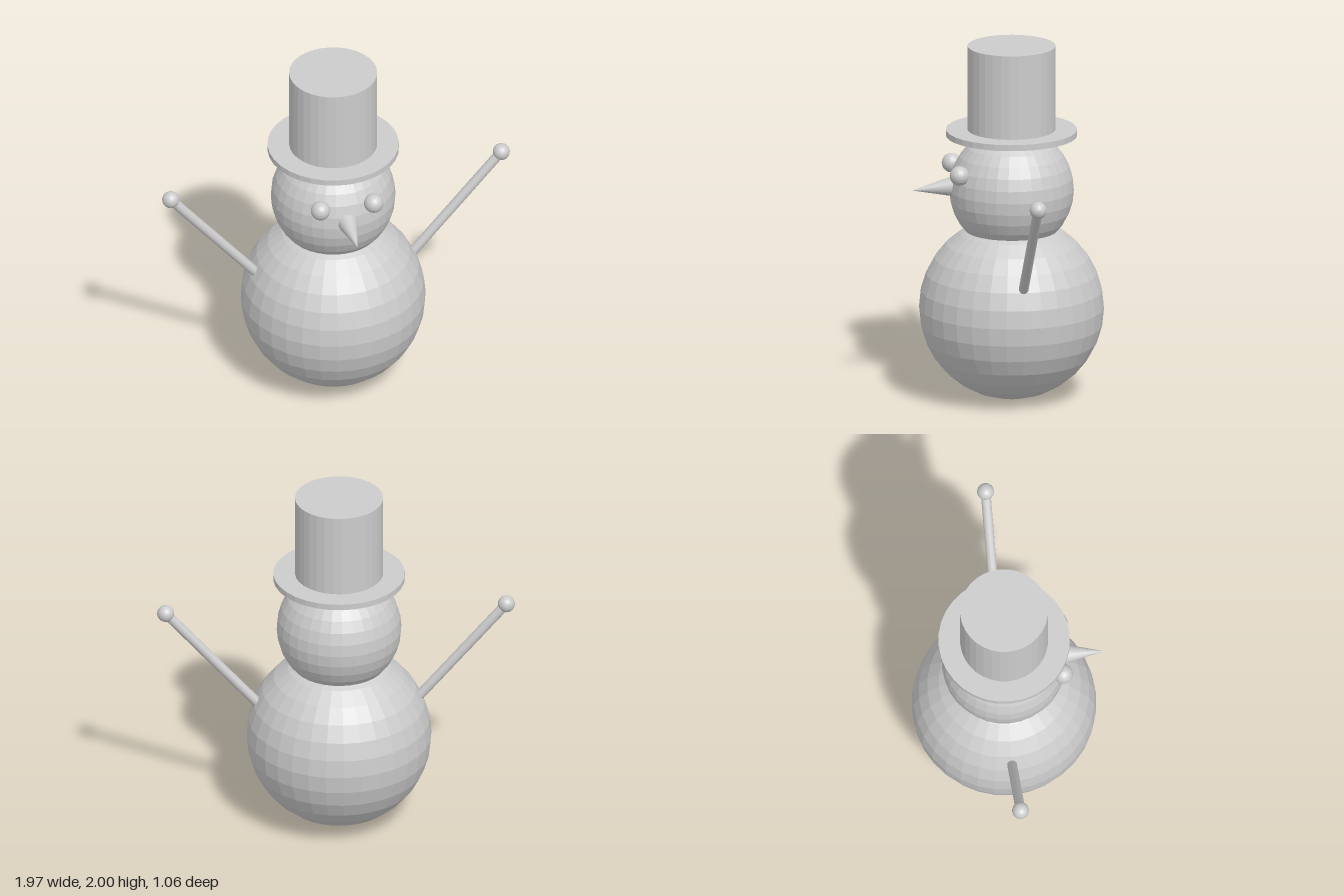
import * as THREE from 'three';

const C = -0.02; // shared body axis in x and z

export function createModel() {
  const model = new THREE.Group();
  const material = new THREE.MeshStandardMaterial({ color: 0xcccccc, flatShading: true });

  const add = (name, geometry, x, y, z) => {
    const mesh = new THREE.Mesh(geometry, material);
    mesh.name = name;
    mesh.position.set(x, y, z);
    model.add(mesh);
    return mesh;
  };
  const ball = (name, r, x, y, z) => add(name, new THREE.SphereGeometry(r, 32, 16), x, y, z);

  // Cylinder or cone running from one point to another
  const rod = (name, from, to, rFrom, rTo) => {
    const dir = to.clone().sub(from);
    const mid = from.clone().add(to).multiplyScalar(0.5);
    const mesh = add(name, new THREE.CylinderGeometry(rTo, rFrom, dir.length(), 32), mid.x, mid.y, mid.z);
    mesh.quaternion.setFromUnitVectors(new THREE.Vector3(0, 1, 0), dir.normalize());
  };

  // Snowballs
  ball('body', 0.51, C, 0.515, C);
  ball('head', 0.344, C, 1.185, C);

  // Top hat
  add('hatBrim', new THREE.CylinderGeometry(0.3625, 0.3625, 0.034, 32), C, 1.509, C);
  add('hatCrown', new THREE.CylinderGeometry(0.243, 0.243, 0.49, 32), C, 1.755, C);

  // Face
  ball('rightEye', 0.054, -0.17, 1.309, 0.292);
  ball('leftEye', 0.054, 0.132, 1.309, 0.292);
  rod('nose', new THREE.Vector3(C, 1.213, 0.307), new THREE.Vector3(C, 1.197, 0.534), 0.056, 0);

  // Arms with round hands
  const arms = [
    ['right', new THREE.Vector3(-0.44, 0.715, C), new THREE.Vector3(-0.943, 1.304, C)],
    ['left', new THREE.Vector3(0.41, 0.7, C), new THREE.Vector3(0.937, 1.304, -0.027)],
  ];
  for (const [side, shoulder, hand] of arms) {
    rod(side + 'Arm', shoulder, hand, 0.027, 0.027);
    ball(side + 'Hand', 0.047, hand.x, hand.y, hand.z);
  }
  return model;
}
